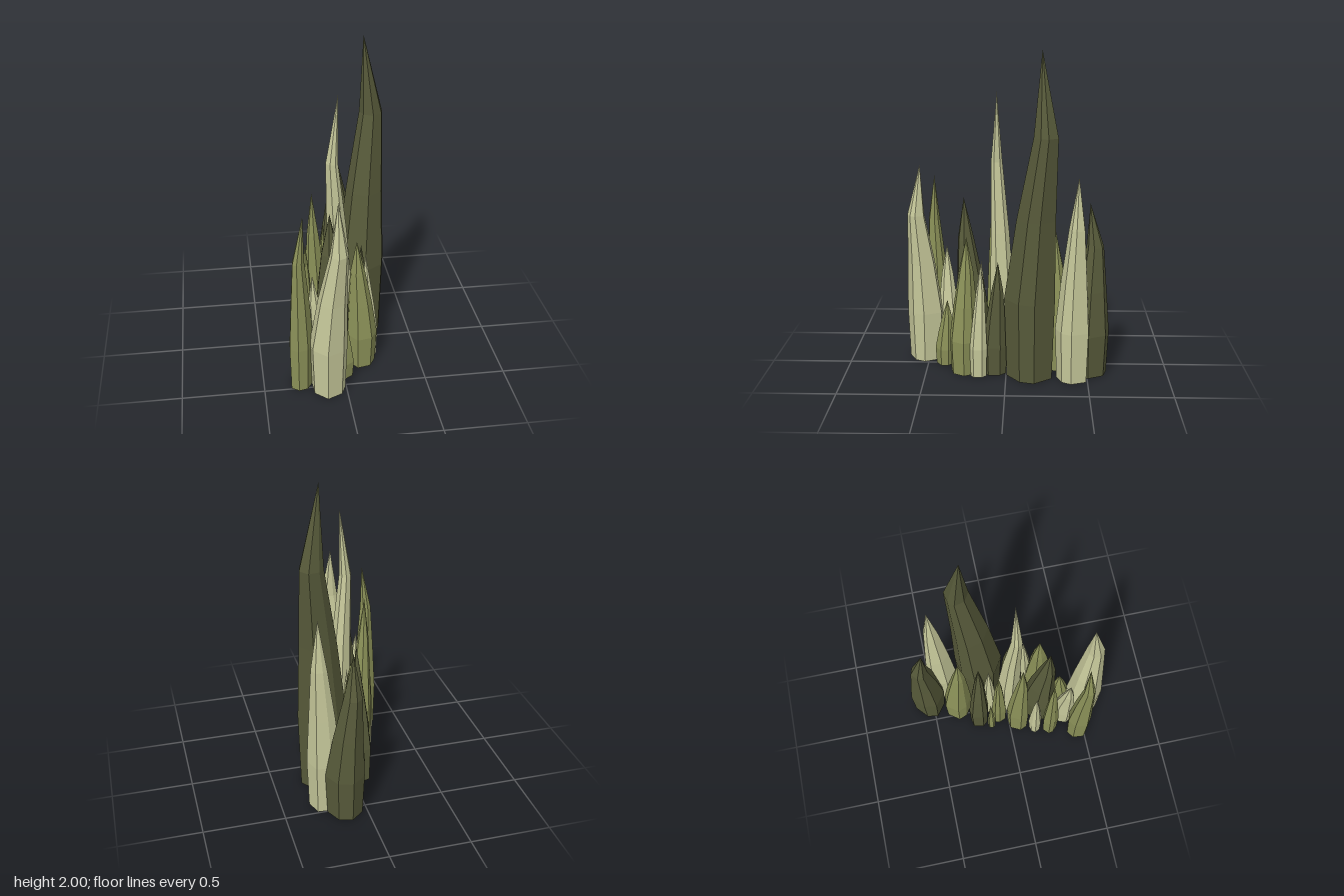
import * as THREE from 'three';

const SIDES = 7;

// radius factor of the five rings, from foot to point
const PROFILE = [0.9, 1, 0.76, 0.47, 0];

// each spike: foot x, foot z, radius, height, then optional tip lean x, z and shoulder bow x, z
const BUNCHES = [
  {
    name: 'paleSpike', color: 0xc6c89a, spikes: [
      [0.235, -0.41, 0.108, 1.27, 0.035, -0.02],
      [0.01, -0.11, 0.052, 0.75],
      [0.025, 0.03, 0.08, 1.74, -0.015, 0.03, -0.04, 0.01],
      [0.2, 0.17, 0.054, 0.72, -0.03, -0.015],
      [-0.197, 0.17, 0.045, 0.62],
      [-0.145, 0.38, 0.077, 0.73, -0.045, 0.01],
      [-0.11, 0.52, 0.118, 1.28, 0.055, 0.02, 0.014, 0.03],
    ],
  },
  {
    name: 'oliveSpike', color: 0x8b9158, spikes: [
      [0.05, -0.33, 0.095, 0.9, -0.01, 0.03],
      [-0.12, -0.125, 0.027, 0.45],
      [-0.07, -0.06, 0.051, 0.83],
      [-0.13, 0.06, 0.08, 1.12, -0.025, 0.02],
      [0.13, 0.26, 0.097, 0.86, -0.03, -0.015],
      [-0.217, 0.27, 0.054, 0.88],
      [-0.005, 0.39, 0.07, 0.42, 0.005, -0.015],
      [-0.272, 0.455, 0.08, 1.17, 0.022, 0.015, -0.028, 0.01],
    ],
  },
  {
    name: 'darkSpike', color: 0x575a3a, spikes: [
      [0.13, -0.52, 0.122, 1.07, -0.05, 0.01, 0, -0.03],
      [-0.06, -0.2, 0.07, 0.94, 0.03, 0.02],
      [0.19, -0.15, 0.155, 2, 0.01, -0.06, 0.06, -0.04],
      [0.145, 0.07, 0.077, 0.72, 0.015, -0.02],
      [-0.05, 0.22, 0.118, 1.07, -0.02, 0.05],
    ],
  },
];

// a faceted spike whose rings follow a leaning, bowed centre line
function spikeGeometry([x, z, radius, height, leanX = 0, leanZ = 0, bowX = 0, bowZ = 0]) {
  const geometry = new THREE.CylinderGeometry(0, 1, 1, SIDES, 4);
  const p = geometry.attributes.position;
  const lean = [0, 0, 0.32, 0.8, 1];
  const bow = [0, 0, 0.4, 1, 0];
  const turn = height * 9;
  for (let i = 0; i < p.count; i++) {
    const ring = Math.round((p.getY(i) + 0.5) * 4);
    const px = p.getX(i), pz = p.getZ(i);
    const side = (Math.round((Math.atan2(px, pz) / (2 * Math.PI)) * SIDES) + SIDES) % SIDES;
    // uneven sides, the same on every ring; the cap's centre stays put
    const uneven = 0.98 + 0.06 * Math.sin(side * 2.4 + turn);
    const r = Math.hypot(px, pz) > 1e-6 ? radius * PROFILE[ring] * uneven : 0;
    const angle = (side / SIDES) * 2 * Math.PI + turn + 0.12 * Math.sin(side * 4.1 + turn);
    p.setXYZ(
      i,
      x + leanX * lean[ring] + bowX * bow[ring] + Math.sin(angle) * r,
      (ring / 4) * height,
      z + leanZ * lean[ring] + bowZ * bow[ring] + Math.cos(angle) * r,
    );
  }
  geometry.computeVertexNormals();
  return geometry;
}

export function createModel() {
  const group = new THREE.Group();
  group.name = 'spikeCluster';
  for (const { name, color, spikes } of BUNCHES) {
    const material = new THREE.MeshStandardMaterial({ color, flatShading: true });
    spikes.forEach((spike, i) => {
      const mesh = new THREE.Mesh(spikeGeometry(spike), material);
      mesh.name = `${name}${i + 1}`;
      group.add(mesh);
    });
  }
  return group;
}
